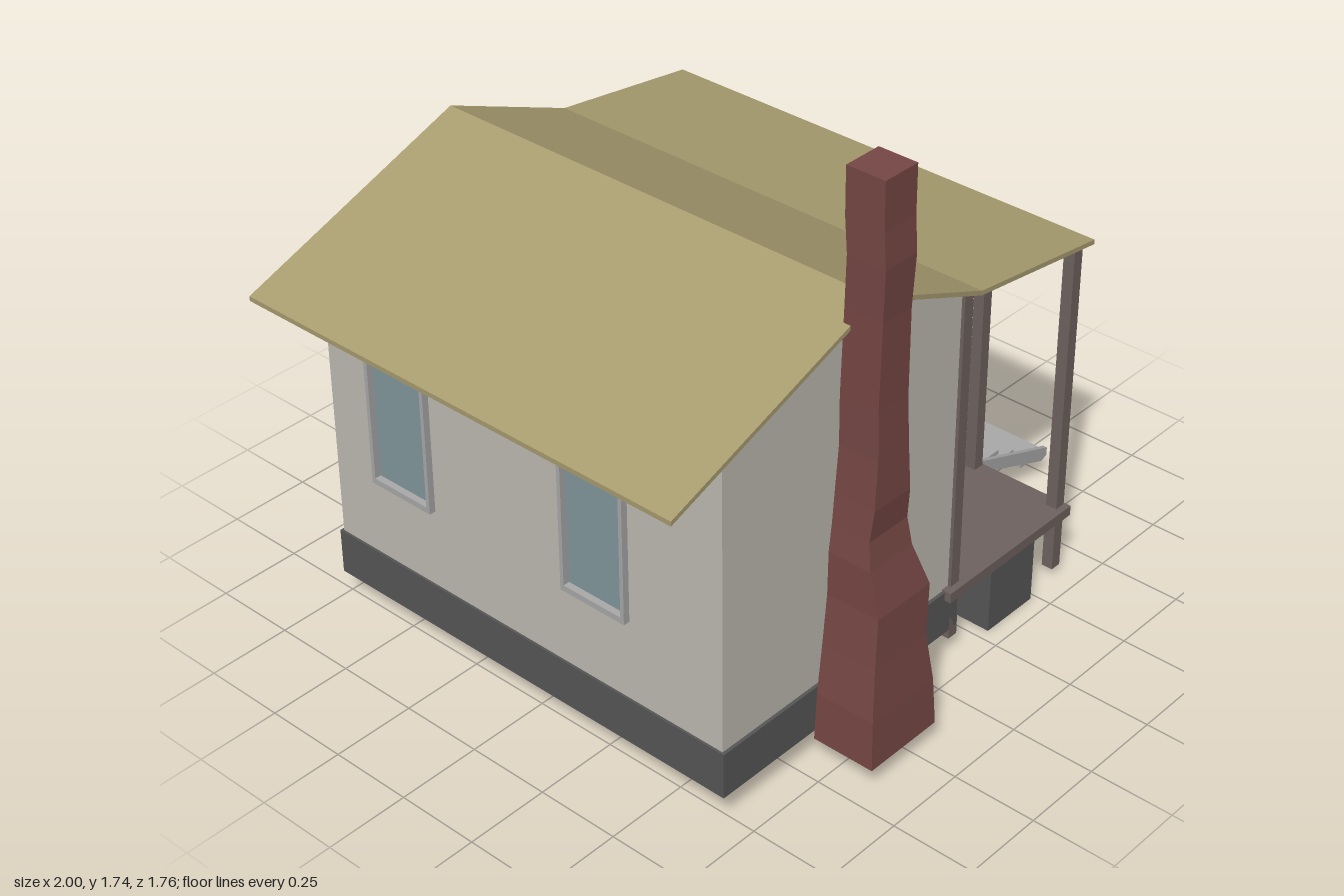
import * as THREE from 'three';

const mat = (color, side = THREE.FrontSide) => new THREE.MeshStandardMaterial({ color, side, flatShading: true });
const M = {
  wall: mat(0xbfbcb2), roof: mat(0xa89d70), brick: mat(0x774845), stone: mat(0x575757),
  wood: mat(0x706360), trim: mat(0xaaaaaa), glass: mat(0x82989d),
};

export function createModel() {
  const house = new THREE.Group();
  house.name = 'house';

  const add = (name, geometry, material, parent = house) => {
    const mesh = new THREE.Mesh(geometry, material);
    mesh.name = name;
    parent.add(mesh);
    return mesh;
  };
  // Box given by its lower and upper limits on each axis
  const box = (name, material, [x0, x1], [y0, y1], [z0, z1], parent = house) => {
    const mesh = add(name, new THREE.BoxGeometry(x1 - x0, y1 - y0, z1 - z0), material, parent);
    mesh.position.set((x0 + x1) / 2, (y0 + y1) / 2, (z0 + z1) / 2);
    return mesh;
  };
  const polygon = (pts) => new THREE.Shape(pts.map(([x, y]) => new THREE.Vector2(x, y)));
  const rect = (a, b, c, d) => polygon([[a, c], [b, c], [b, d], [a, d]]);
  const extrude = (shape, depth) => new THREE.ExtrudeGeometry(shape, { depth, bevelEnabled: false });

  const T = 0.02; // wall thickness
  const xL = -0.778, xR = 0.147, zF = 0.67, zB = -0.73, floor = 0.23;

  // Foundation
  box('foundation', M.stone, [-0.785, 0.158], [0.09, floor], [-0.738, 0.68]);

  // Roof: one bent sheet from the left eave over the ridge to the porch eave
  const roofTop = [[-1, 1.077], [-0.275, 1.342], [0.15, 1.167], [0.637, 1.102]];
  const roofUnder = roofTop.map(([x, y]) => [x, y - 0.014]).reverse();
  add('roof', extrude(polygon([...roofTop, ...roofUnder]), 1.467), M.roof).position.z = -0.754;

  // Gable walls
  const gable = () => polygon([[xL, floor], [xR, floor], [xR, 1.158], [-0.275, 1.332], [xL, 1.148]]);
  add('frontWall', extrude(gable(), T), M.wall).position.z = zF - T;
  const backShape = gable();
  backShape.holes.push(rect(-0.685, -0.515, 0.495, 0.85));
  add('backWall', extrude(backShape, T), M.wall).position.z = zB;

  // Side walls, drawn in z and y
  const sideWall = (name, x, top, holes) => {
    const shape = rect(zB + T, zF - T, floor, top);
    shape.holes.push(...holes);
    const mesh = add(name, extrude(shape, T), M.wall);
    mesh.rotation.y = -Math.PI / 2;
    mesh.position.x = x;
  };
  const sideWindow = (z) => rect(z - 0.1, z + 0.1, 0.495, 0.905);
  sideWall('leftWall', xR, 1.158, [sideWindow(-0.457), rect(0.005, 0.355, floor + 0.001, 0.935)]);
  sideWall('rightWall', xL + T, 1.148, [sideWindow(-0.457), sideWindow(0.247)]);

  // Windows: frame of four bars around a pane, facing local +z
  const addWindow = (name, w, h, x, y, z, turn) => {
    const g = new THREE.Group();
    g.name = name;
    const a = w / 2, b = h / 2, s = 0.012, d = [-T, 0.02];
    for (const k of [-1, 1]) {
      box('frameSide', M.trim, [k * (a - s / 2) - s / 2, k * (a - s / 2) + s / 2], [-b, b], d, g);
      box('frameRail', M.trim, [-a + s, a - s], [k * (b - 0.009) - 0.009, k * (b - 0.009) + 0.009], d, g);
    }
    box('pane', M.glass, [-a + s, a - s], [-b + 0.018, b - 0.018], [-0.01, 0], g);
    g.position.set(x, y, z);
    g.rotation.y = turn;
    house.add(g);
  };
  addWindow('leftWindow', 0.222, 0.45, xR, 0.702, -0.457, Math.PI / 2);
  for (const z of [-0.457, 0.247]) addWindow('rightWindow', 0.222, 0.45, xL, 0.702, z, -Math.PI / 2);
  addWindow('backWindow', 0.19, 0.38, -0.6, 0.673, zB, Math.PI);

  // Gable vent
  box('gableVent', M.roof, [-0.36, -0.235], [0.97, 1.2], [-0.75, zB]);

  // Open doorway with its frame
  const doorX = [xR - T, 0.165];
  box('doorLintel', M.trim, doorX, [0.932, 0.953], [-0.015, 0.375]);
  box('doorJamb', M.trim, doorX, [floor, 0.932], [-0.015, 0.007]);
  box('doorJamb', M.trim, doorX, [floor, 0.932], [0.353, 0.375]);

  // Porch deck and posts
  box('porchDeck', M.wood, [0.1, 0.64], [0.205, 0.236], [-0.74, 0.7]);
  const post = (x, z, y0, y1) =>
    box('porchPost', M.wood, [x - 0.0175, x + 0.0175], [y0, y1], [z - 0.0175, z + 0.0175]);
  for (const z of [0.6625, 0.3775, -0.0175, -0.7175]) post(0.617, z, 0.028, 1.098);
  for (const z of [0.6625, -0.7175]) post(0.143, z, 0.06, 1.155);

  // Porch steps: two sloping stringers and four treads
  const stringer = polygon([[0.637, 0.19], [0.97, 0.062], [0.995, 0.072], [0.995, 0.098], [0.637, 0.228]]);
  for (const z of [-0.036, 0.352]) add('stepStringer', extrude(stringer, 0.014), M.trim).position.z = z;
  for (let i = 0; i < 4; i++) {
    const x = 0.66 + i * 0.075, y = 0.198 - i * 0.037;
    box('stepTread', M.trim, [x, x + 0.11], [y - 0.014, y], [-0.022, 0.352]);
  }

  // Blocks under and behind the porch
  box('porchBlock', M.stone, [0.287, 0.482], [0, 0.2], [0.5, 0.695]);
  box('yardBlock', M.stone, [0.333, 0.434], [0.055, 0.197], [-0.88, -0.778]);

  // Chimney: stacked rectangles as [y, left x, right x, back z, front z]
  const rings = [
    [0.075, -0.445, -0.187, 0.688, 0.88], [0.22, -0.437, -0.193, 0.688, 0.872],
    [0.37, -0.42, -0.215, 0.688, 0.86], [0.52, -0.405, -0.2, 0.688, 0.853],
    [0.65, -0.403, -0.24, 0.688, 0.822], [0.73, -0.393, -0.245, 0.688, 0.808],
    [0.82, -0.385, -0.247, 0.688, 0.815], [0.96, -0.375, -0.257, 0.69, 0.813],
    [1.1, -0.374, -0.26, 0.688, 0.808], [1.35, -0.37, -0.263, 0.692, 0.81],
    [1.5, -0.373, -0.257, 0.698, 0.815], [1.6, -0.373, -0.257, 0.69, 0.808],
    [1.735, -0.374, -0.256, 0.69, 0.807],
  ];
  const pos = [], index = [];
  for (const [y, x0, x1, z0, z1] of rings) pos.push(x0, y, z1, x1, y, z1, x1, y, z0, x0, y, z0);
  for (let r = 0; r < rings.length - 1; r++) {
    for (let i = 0; i < 4; i++) {
      const a = r * 4 + i, b = r * 4 + (i + 1) % 4;
      index.push(a, b, b + 4, a, b + 4, a + 4);
    }
  }
  const t = (rings.length - 1) * 4;
  index.push(t, t + 1, t + 2, t, t + 2, t + 3, 0, 2, 1, 0, 3, 2);
  const chimney = new THREE.BufferGeometry();
  chimney.setAttribute('position', new THREE.Float32BufferAttribute(pos, 3));
  chimney.setIndex(index);
  const chimneyFlat = chimney.toNonIndexed();
  chimneyFlat.computeVertexNormals();
  add('chimney', chimneyFlat, M.brick);

  return house;
}
